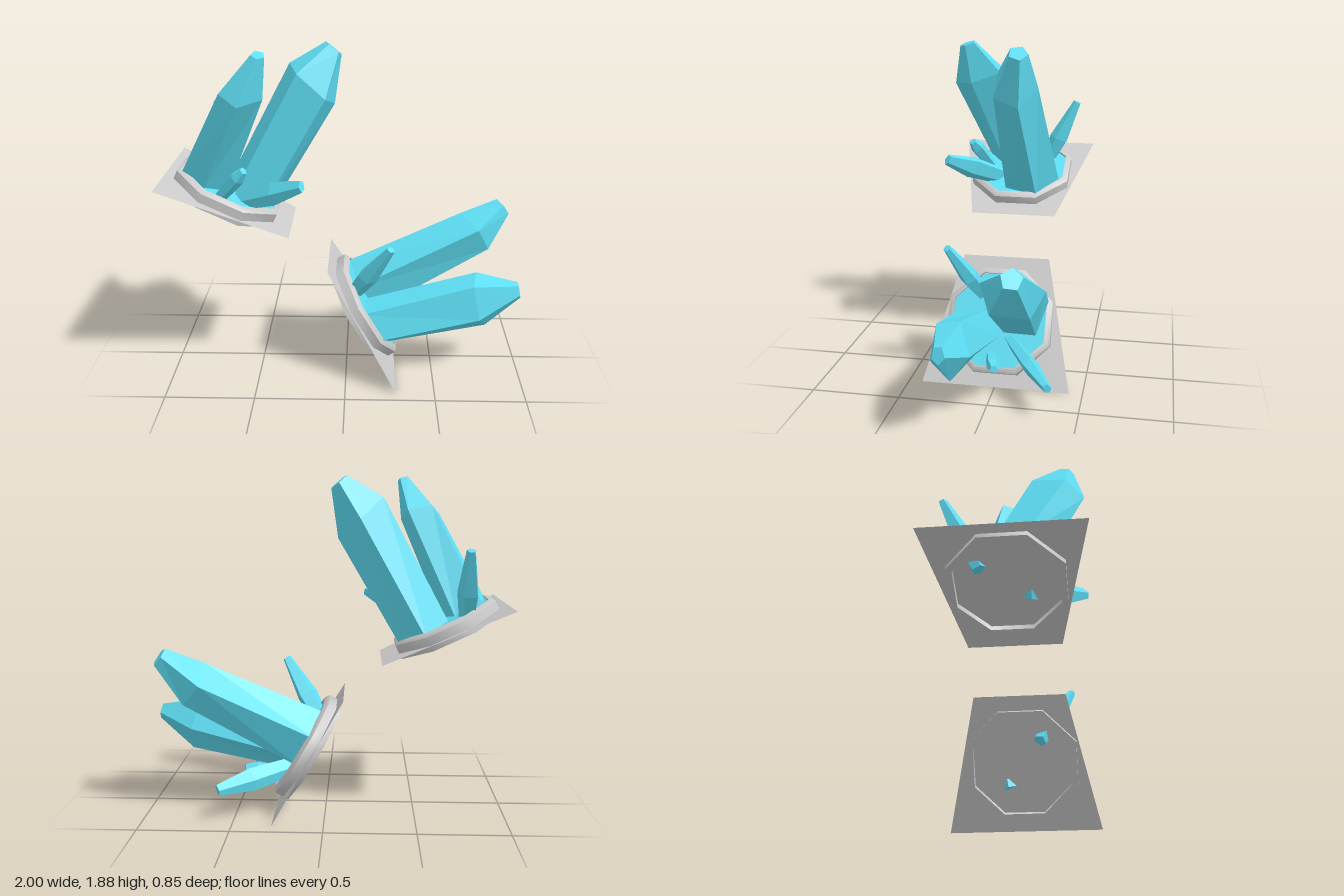
import * as THREE from 'three';
import { toCreasedNormals } from 'three/addons/utils/BufferGeometryUtils.js';

const grey = new THREE.MeshStandardMaterial({ color: 0xcccccc });
const greyThin = new THREE.MeshStandardMaterial({ color: 0xcccccc, side: THREE.DoubleSide });
const cyan = new THREE.MeshStandardMaterial({ color: 0x5edff5, flatShading: true });

const OCTAGON = 1 / Math.cos(Math.PI / 8); // corner radius per unit of flat-side distance

function addMesh(parent, name, geometry, material) {
  const mesh = new THREE.Mesh(geometry, material);
  mesh.name = name;
  parent.add(mesh);
  return mesh;
}

// Five-sided crystal lofted through tilted sections and capped at both ends.
// Section: centre x, y, z, radii rx, rz, and the slopes of its plane along x and z.
function crystalGeometry(sections, startDegrees, sides = 5) {
  const rings = sections.map(([x, y, z, rx, rz, sx = 0, sz = 0]) =>
    Array.from({ length: sides }, (_, i) => {
      const t = THREE.MathUtils.degToRad(startDegrees) + (i / sides) * Math.PI * 2;
      const dx = rx * Math.cos(t), dz = rz * Math.sin(t);
      return [x + dx, y + sx * dx + sz * dz, z + dz];
    }));
  const p = [];
  const last = rings.length - 1;
  for (let i = 0; i < sides; i++) {
    const j = (i + 1) % sides;
    for (let k = 0; k < last; k++) {
      const lo = rings[k], up = rings[k + 1];
      p.push(...lo[i], ...up[i], ...lo[j], ...lo[j], ...up[i], ...up[j]);
    }
    p.push(...sections[last].slice(0, 3), ...rings[last][j], ...rings[last][i]);
    p.push(...sections[0].slice(0, 3), ...rings[0][i], ...rings[0][j]);
  }
  const g = new THREE.BufferGeometry();
  g.setAttribute('position', new THREE.Float32BufferAttribute(p, 3));
  g.computeVertexNormals();
  return g;
}

// Small shard: sections square to the line from base to tip.
function shardGeometry(base, tip, radii, shoulder, startDegrees) {
  const a = new THREE.Vector3(...base), b = new THREE.Vector3(...tip);
  const d = b.clone().sub(a);
  const sections = [0, shoulder, 1].map((t, i) => {
    const c = a.clone().lerp(b, t);
    return [c.x, c.y, c.z, radii[i], radii[i], -d.x / d.y, -d.z / d.y];
  });
  return crystalGeometry(sections, startDegrees);
}

function crystals() {
  const group = new THREE.Group();
  group.name = 'crystals';
  addMesh(group, 'tallCrystal', crystalGeometry([
    [0.125, 0.05, -0.075, 0.155, 0.18],
    [0.18, 0.805, -0.03, 0.168, 0.135, -0.31, 0.05],
    [0.207, 1.03, -0.068, 0.056, 0.058, -0.25, 0.1],
  ], -17), cyan);
  addMesh(group, 'mediumCrystal', crystalGeometry([
    [-0.14, 0.05, 0.055, 0.145, 0.15],
    [-0.138, 0.67, 0.24, 0.115, 0.16, 0.25, -0.32],
    [-0.137, 0.894, 0.297, 0.036, 0.047, 0.2, -0.3],
  ], 85), cyan);
  addMesh(group, 'rearShard', shardGeometry(
    [-0.1, 0.02, -0.13], [-0.272, 0.41, -0.333], [0.036, 0.054, 0.022], 0.45, 20), cyan);
  addMesh(group, 'frontShard', shardGeometry(
    [0.06, 0.04, 0.09], [0.34, 0.38, 0.38], [0.033, 0.045, 0.022], 0.6, 50), cyan);
  addMesh(group, 'smallShard', shardGeometry(
    [-0.03, 0.06, 0.2], [0.033, 0.298, 0.295], [0.032, 0.04, 0.021], 0.75, 10), cyan);
  return group;
}

function cluster(name, x, y, tiltDegrees, turn, plateTurn, plateShift) {
  const group = new THREE.Group();
  group.name = name;

  // Octagonal collar with a chamfered rim, open in the middle
  const profile = [[0.268, 0], [0.3, 0], [0.3, 0.083], [0.275, 0.103], [0.268, 0.103], [0.268, 0]]
    .map(([r, h]) => new THREE.Vector2(r * OCTAGON, h));
  const collar = new THREE.LatheGeometry(profile, 8, Math.PI / 8);
  addMesh(group, 'collar', toCreasedNormals(collar, THREE.MathUtils.degToRad(50)), grey);

  // Crystal floor inside the collar
  const floor = new THREE.CircleGeometry(0.27 * OCTAGON, 8, Math.PI / 8);
  addMesh(group, 'crystalFloor', floor.rotateX(-Math.PI / 2).translate(0, 0.088, 0), cyan);

  // Thin tapered plate running through the collar
  const plateShape = new THREE.Shape([[-0.38, -0.424], [0.38, -0.253], [0.38, 0.253], [-0.38, 0.424]]
    .map(([u, v]) => new THREE.Vector2(u, v)));
  const plate = addMesh(group, 'plate', new THREE.ShapeGeometry(plateShape).rotateX(-Math.PI / 2), greyThin);
  plate.rotation.y = plateTurn;
  plate.position.set(plateShift, 0.033, 0);

  const growth = crystals();
  growth.rotation.y = turn;
  group.add(growth);

  group.position.set(x, y, 0);
  group.rotation.z = -THREE.MathUtils.degToRad(tiltDegrees);
  return group;
}

export function createModel() {
  const model = new THREE.Group();
  model.name = 'crystalClusters';
  model.add(cluster('upperCluster', -0.695, 1.003, 25, 0, 0, 0.027));
  model.add(cluster('lowerCluster', 0.064, 0.312, 59.5, Math.PI / 2, Math.PI, -0.003));
  return model;
}
